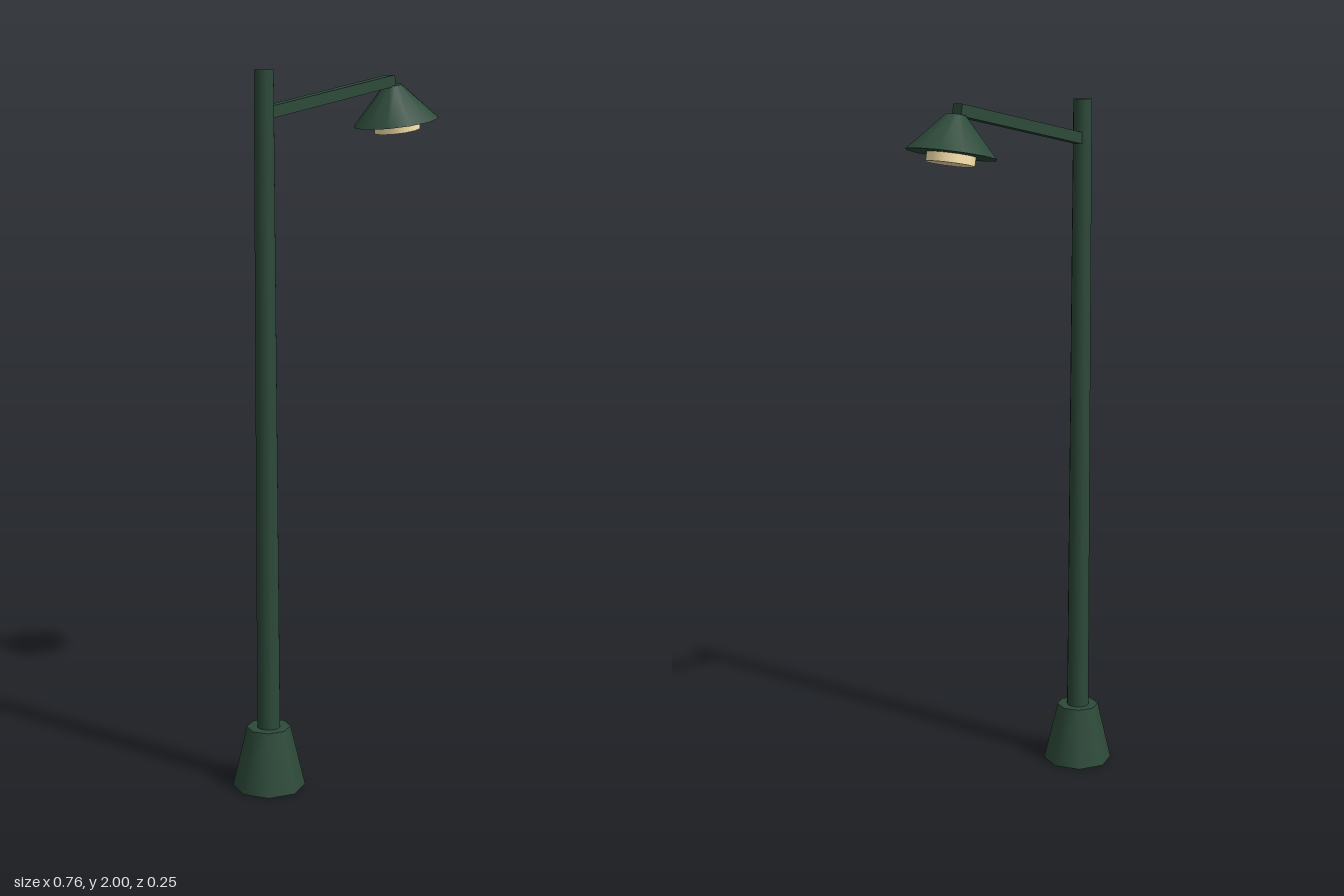
import * as THREE from 'three';

export function createModel() {
  const group = new THREE.Group();
  const green = new THREE.MeshStandardMaterial({ color: 0x2d4a3a });
  const cream = new THREE.MeshStandardMaterial({ color: 0xffe8b0 });
  const poleX = -0.275;
  const tilt = THREE.MathUtils.degToRad(10);

  const add = (parent, name, geometry, material, x, y) => {
    const mesh = new THREE.Mesh(geometry, material);
    mesh.name = name;
    mesh.position.set(x, y, 0);
    parent.add(mesh);
    return mesh;
  };

  // Flared octagonal foot and slightly tapering post
  add(group, 'base', new THREE.CylinderGeometry(0.062, 0.103, 0.175, 8), green, poleX, 0.0875);
  add(group, 'pole', new THREE.CylinderGeometry(0.027, 0.034, 1.99, 12), green, poleX, 1.005);

  // Square bracket rising away from the post
  const arm = add(group, 'arm', new THREE.BoxGeometry(0.51, 0.032, 0.034), green, -0.02, 1.932);
  arm.rotation.z = tilt;

  // Lamp head, origin at the centre of the shade rim
  const head = new THREE.Group();
  head.name = 'lampHead';
  head.position.set(0.254, 1.86, 0);
  head.rotation.z = tilt;
  add(head, 'shade', new THREE.CylinderGeometry(0.027, 0.125, 0.105, 12), green, 0, 0.0525);
  add(head, 'lens', new THREE.CylinderGeometry(0.068, 0.068, 0.03, 12), cream, 0, -0.01);
  group.add(head);

  return group;
}
